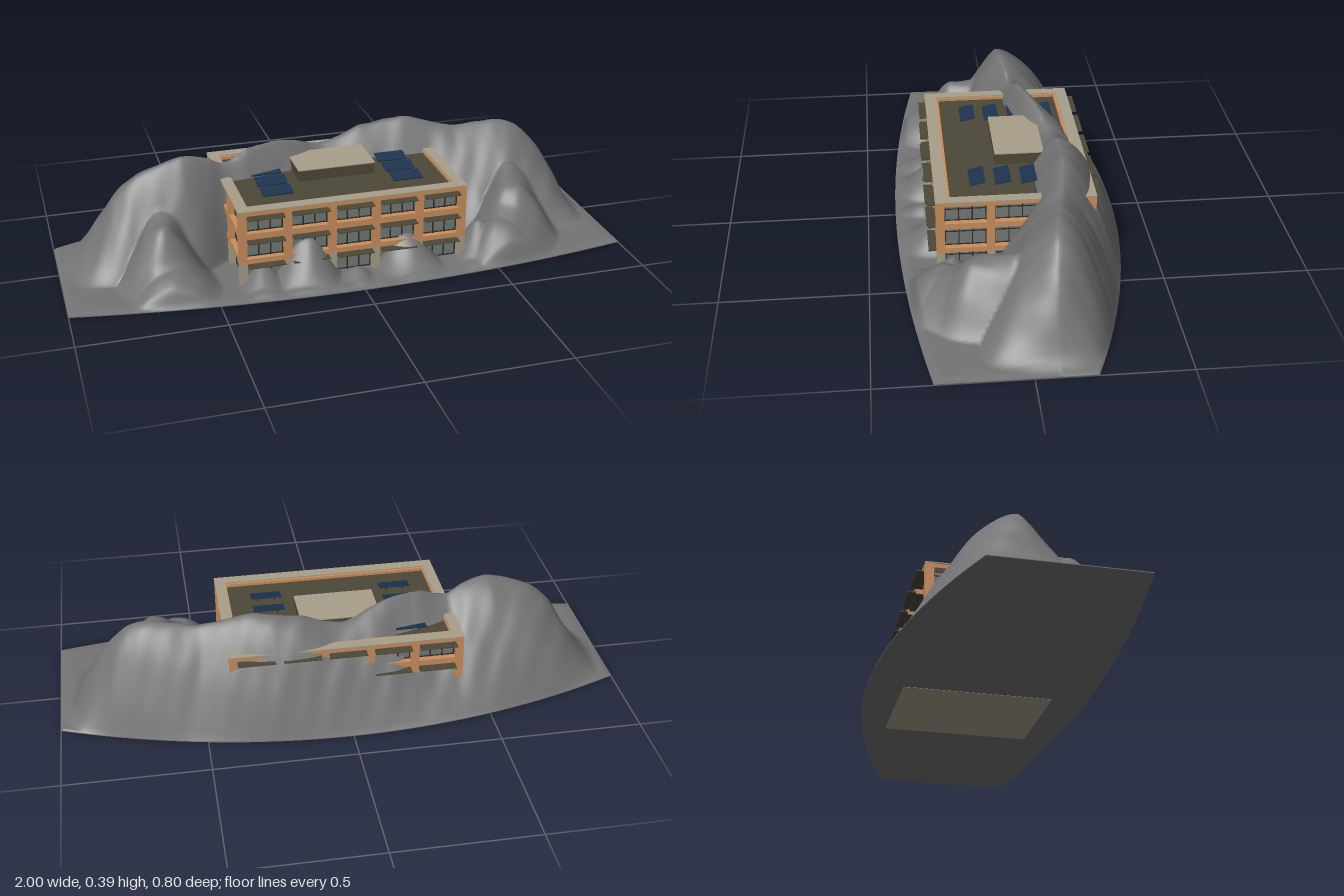
import * as THREE from 'three';

const mat = (name, color, side = THREE.FrontSide) => {
  const m = new THREE.MeshStandardMaterial({ color, side });
  m.name = name;
  return m;
};

// ---- Terrain rules -------------------------------------------------------
// Ridge height every 0.05 from x = -1 to 1; ridge z and back slope power every 0.25
const RIDGE_H = [0, 0.02, 0.08, 0.16, 0.24, 0.295, 0.33, 0.355, 0.37, 0.385, 0.377, 0.365, 0.33,
  0.345, 0.37, 0.376, 0.375, 0.37, 0.355, 0.33, 0.32, 0.33, 0.35, 0.37, 0.375, 0.385, 0.39,
  0.385, 0.37, 0.36, 0.345, 0.35, 0.36, 0.365, 0.36, 0.335, 0.29, 0.22, 0.13, 0.03, 0];
const RIDGE_Z = [-0.03, -0.03, -0.03, -0.09, -0.17, -0.175, -0.145, -0.09, -0.08];
const BACK_POWER = [1.9, 1.9, 1.45, 0.95, 1.75, 1.9, 1.4, 1.9, 1.9];
// Spurs and rocks as [x, z, height] ridge lines with a half width
const SPURS = [
  { w: 0.2, p: [[0.67, 0.03, 0.235], [0.64, 0.15, 0.21], [0.56, 0.25, 0.125], [0.5, 0.34, 0.02]] },
  { w: 0.19, p: [[-0.64, 0.03, 0.24], [-0.65, 0.14, 0.21], [-0.63, 0.25, 0.1], [-0.6, 0.34, 0.02]] },
  { w: 0.14, p: [[-0.17, 0.25, 0.15], [-0.19, 0.36, 0.02]] },
  { w: 0.14, p: [[0.2, 0.25, 0.12], [0.21, 0.36, 0.02]] },
  { w: 0.1, p: [[-0.33, 0.26, 0.07], [-0.34, 0.34, 0.02]] },
  { w: 0.1, p: [[0.48, 0.22, 0.12], [0.43, 0.33, 0.02]] },
  { w: 0.07, p: [[0.0, 0.3, 0.04], [0.0, 0.35, 0.02]] },
];
const backEdge = x => -0.4 + 0.2 * x * x;
const frontEdge = x => 0.4 - 0.09 * x * x;

function sample(table, x) {
  const u = THREE.MathUtils.clamp((x + 1) / 2, 0, 1) * (table.length - 1);
  const i = Math.min(Math.floor(u), table.length - 2);
  return THREE.MathUtils.lerp(table[i], table[i + 1], u - i);
}
const smoothSample = (t, x, r) =>
  (sample(t, x - r) + 2 * sample(t, x) + sample(t, x + r)) / 4;

function spurHeight(spur, x, z) {
  let best = 0;
  for (let i = 0; i + 1 < spur.p.length; i++) {
    const [ax, az, ah] = spur.p[i], [bx, bz, bh] = spur.p[i + 1];
    const dx = bx - ax, dz = bz - az;
    const t = THREE.MathUtils.clamp(((x - ax) * dx + (z - az) * dz) / (dx * dx + dz * dz), 0, 1);
    const d = Math.hypot(x - ax - t * dx, z - az - t * dz) / spur.w;
    if (d < 1) best = Math.max(best, (ah + t * (bh - ah)) * Math.pow(1 - d * d, 2));
  }
  return best;
}

function terrainHeight(x, z) {
  const H = smoothSample(RIDGE_H, x, 0.015), zr = smoothSample(RIDGE_Z, x, 0.1);
  let h;
  if (z < zr) {
    const t = Math.min(1, (zr - z) / (zr - backEdge(x)));
    h = H * (1 - Math.pow(t, smoothSample(BACK_POWER, x, 0.06)));
  } else {
    const foot = 0.05 + 0.11 * THREE.MathUtils.smoothstep(Math.abs(x), 0.35, 0.55);
    const s = Math.min(1, (z - zr) / (foot - zr));
    h = H * (1 - Math.pow(s, 1.3));
  }
  for (const s of SPURS) h = Math.max(h, spurHeight(s, x, z));
  // Gentle weathering that fades out on the flat ground
  const n = Math.sin(x * 31 + z * 17) + Math.sin(x * 19 - z * 37 + 1.3) + 0.6 * Math.sin(x * 67 + z * 43);
  h += n * 0.004 * Math.min(1, h * 6) * (1 - 0.6 * THREE.MathUtils.smoothstep(h, 0.22, 0.32));
  const edge = Math.min(z - backEdge(x), frontEdge(x) - z, 1 - Math.abs(x));
  const rim = z < zr ? 0.004 : 0.03;
  return 0.004 + Math.max(h - 0.004, 0.005) * THREE.MathUtils.smoothstep(edge, 0, rim);
}

function terrainGeometry(nx = 200, nz = 100) {
  const g = new THREE.PlaneGeometry(2, 1, nx, nz).rotateX(-Math.PI / 2);
  const p = g.attributes.position;
  for (let i = 0; i < p.count; i++) {
    const x = p.getX(i), z = THREE.MathUtils.lerp(backEdge(x), frontEdge(x), p.getZ(i) + 0.5);
    p.setXYZ(i, x, terrainHeight(x, z), z);
  }
  g.computeVertexNormals();
  return g;
}

// Thin slab that closes the terrain underneath
function baseGeometry() {
  const pts = [];
  for (let i = 0; i <= 40; i++) pts.push(new THREE.Vector2(-1 + i / 20, -frontEdge(-1 + i / 20)));
  for (let i = 40; i >= 0; i--) pts.push(new THREE.Vector2(-1 + i / 20, -backEdge(-1 + i / 20)));
  return new THREE.ExtrudeGeometry(new THREE.Shape(pts), { depth: 0.003, bevelEnabled: false })
    .rotateX(-Math.PI / 2).translate(0, 0.001, 0);
}

export function createModel() {
  const rock = mat('grey rock', 0x747474, THREE.DoubleSide);
  const orange = mat('orange facade', 0xcb8f5e);
  const cream = mat('cream concrete', 0xa89f8a);
  const olive = mat('olive roof', 0x4d4938);
  const glass = mat('grey glass', 0x757a76);
  const dark = mat('dark frame', 0x2b2d2d);
  const blue = mat('solar blue', 0x1d3350);

  const model = new THREE.Group();
  model.name = 'hillsideBuilding';
  const box = (parent, name, m, w, h, d, x, y, z) => {
    const mesh = new THREE.Mesh(new THREE.BoxGeometry(w, h, d), m);
    mesh.name = name;
    mesh.position.set(x, y, z);
    parent.add(mesh);
    return mesh;
  };

  const hill = new THREE.Mesh(terrainGeometry(), rock);
  hill.name = 'hill';
  const base = new THREE.Mesh(baseGeometry(), rock);
  base.name = 'hillBase';
  model.add(hill, base);

  // Building, slightly behind the centre line
  const building = new THREE.Group();
  building.name = 'building';
  building.position.z = -0.003;
  model.add(building);
  const W = 0.82, D = 0.542;
  box(building, 'groundSlab', cream, W / 2, 0.006, D, W / 4, 0.003, 0);
  box(building, 'glassCore', glass, W - 0.05, 0.26, D - 0.05, 0, 0.135, 0);
  box(building, 'roofDeck', olive, W - 0.04, 0.01, D - 0.04, 0, 0.267, 0);

  // One wall facing +z in its own frame: posts, floor bands, windows, sunshades
  function facade(name, width, bays, shades) {
    const g = new THREE.Group();
    g.name = name;
    const post = 0.028, step = (width - post) / bays, win = step - post;
    for (let i = 0; i <= bays; i++) {
      const x = -width / 2 + post / 2 + i * step;
      box(g, 'post', orange, post, 0.195, 0.026, x, 0.1865, -0.013);
      box(g, 'groundColumn', cream, post, 0.084, 0.026, x, 0.048, -0.013);
    }
    for (const [y, h] of [[0.097, 0.018], [0.191, 0.022], [0.2755, 0.015]])
      box(g, 'floorBand', orange, width - 0.002, h, 0.022, 0, y, -0.013);
    for (let b = 0; b < bays; b++) {
      const x = -width / 2 + post + win / 2 + b * step;
      for (const [y0, y1] of [[0.01, 0.088], [0.106, 0.18], [0.202, 0.268]]) {
        const h = y1 - y0, y = (y0 + y1) / 2;
        for (let k = 0; k <= 3; k++)
          box(g, 'mullion', dark, 0.004, h, 0.005, x + (k / 3 - 0.5) * (win - 0.004), y, -0.0235);
        for (const ty of [y0 + 0.003, y1 - 0.02])
          box(g, 'transom', dark, win, 0.003, 0.005, x, ty, -0.0235);
        if (shades) box(g, 'sunshade', olive, win, 0.003, 0.048, x, y1 - 0.005, 0.002);
      }
    }
    building.add(g);
    return g;
  }
  facade('frontWall', W, 5, true).position.z = D / 2;
  const back = facade('backWall', W, 5, true);
  back.rotation.y = Math.PI;
  back.position.z = -D / 2;
  for (const s of [1, -1]) {
    const side = facade(s > 0 ? 'leftWall' : 'rightWall', D - 0.004, 3, false);
    side.rotation.y = s * Math.PI / 2;
    side.position.x = s * (W / 2 - 0.001);
  }

  // Parapet with cream coping
  for (const s of [1, -1]) {
    box(building, 'parapet', orange, W - 0.08, 0.012, 0.05, 0, 0.277, s * (D / 2 - 0.025));
    box(building, 'parapet', orange, 0.036, 0.014, D - 0.06, s * (W / 2 - 0.023), 0.2755, 0);
    box(building, 'coping', cream, W + 0.002, 0.004, 0.042, 0, 0.285, s * (D / 2 - 0.02));
    box(building, 'coping', cream, 0.038, 0.004, D - 0.08, s * (W / 2 - 0.018), 0.285, 0);
  }

  // Rooftop room
  box(building, 'roofRoom', olive, 0.28, 0.044, 0.17, 0, 0.29, -0.037);
  box(building, 'roofRoomTop', cream, 0.284, 0.003, 0.174, 0, 0.3135, -0.037);

  // Tilted solar panels
  for (const x of [-0.24, 0.235])
    for (const z of [0.121, 0.033, -0.057, -0.167]) {
      const panel = box(building, 'solarPanel', blue, 0.11, 0.004, 0.055, x, 0.284, z);
      panel.rotation.x = 0.2;
      for (const k of [-0.03, 0.03])
        box(building, 'panelFoot', dark, 0.004, 0.012, 0.004, x + k, 0.276, z - 0.015);
    }
  return model;
}
